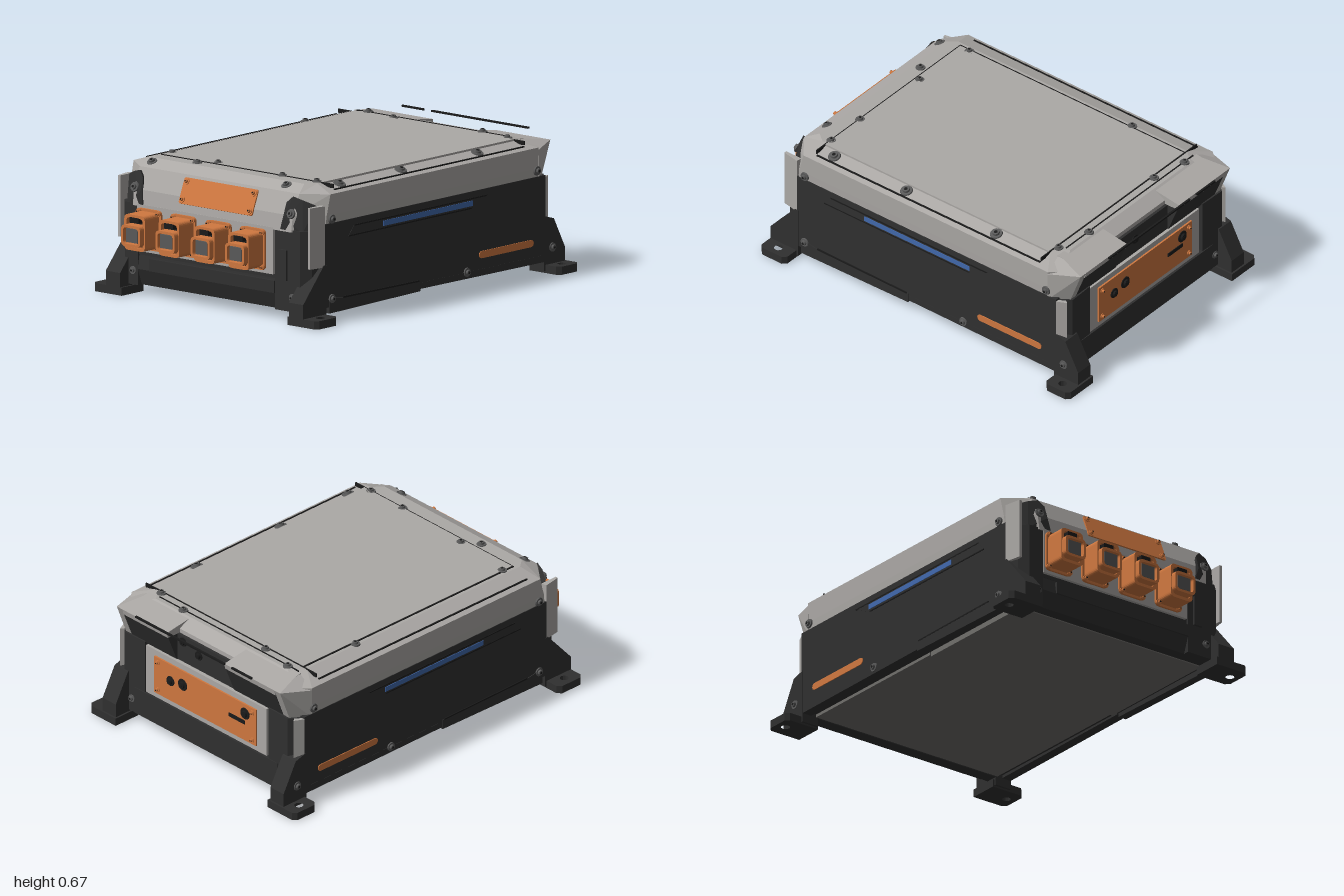
import * as THREE from 'three';
import { ConvexGeometry } from 'three/addons/geometries/ConvexGeometry.js';

const mat = (name, color) => {
  const m = new THREE.MeshStandardMaterial({ color });
  m.name = name;
  return m;
};

export function createModel() {
  const root = new THREE.Group();
  root.name = 'powerUnit';
  const grey = mat('light grey', 0xaca9a6), dark = mat('dark grey', 0x303030), black = mat('black', 0x1b1b1b);
  const orange = mat('orange', 0xd07840), blue = mat('blue', 0x4169ad), steel = mat('bolt grey', 0x5a5a5a);
  const under = mat('underside grey', 0x706e6b);

  const add = (name, geo, m, parent = root) => {
    const mesh = new THREE.Mesh(geo, m);
    mesh.name = name;
    parent.add(mesh);
    return mesh;
  };
  // Box given by its lower and upper limits on each axis
  const box = (name, m, x0, x1, y0, y1, z0, z1, parent) => {
    const g = new THREE.BoxGeometry(Math.abs(x1 - x0), y1 - y0, Math.abs(z1 - z0));
    g.translate((x0 + x1) / 2, (y0 + y1) / 2, (z0 + z1) / 2);
    return add(name, g, m, parent);
  };
  const shapeOf = pts => new THREE.Shape(pts.map(p => new THREE.Vector2(p[0], p[1])));
  const extrude = (shape, depth) => new THREE.ExtrudeGeometry(shape, { depth, bevelEnabled: false, curveSegments: 6 });
  // (z, y) profile swept from x0 to x1
  const sweepX = (name, m, pts, x0, x1) =>
    add(name, extrude(shapeOf(pts), x1 - x0).rotateY(-Math.PI / 2).translate(x1, 0, 0), m);
  // (x, z) plan raised from y0 to y1, optionally with a round hole
  const raise = (name, m, pts, y0, y1, hole) => {
    const s = shapeOf(pts.map(p => [p[0], -p[1]]));
    if (hole) s.holes.push(new THREE.Path().absarc(hole[0], -hole[1], hole[2], 0, Math.PI * 2, true));
    return add(name, extrude(s, y1 - y0).rotateX(-Math.PI / 2).translate(0, y0, 0), m);
  };
  const roundRect = (w, h, r, P = THREE.Shape) => {
    const s = new P(), a = w / 2, b = h / 2;
    s.moveTo(-a + r, -b).lineTo(a - r, -b).quadraticCurveTo(a, -b, a, -b + r).lineTo(a, b - r);
    s.quadraticCurveTo(a, b, a - r, b).lineTo(-a + r, b).quadraticCurveTo(-a, b, -a, b - r);
    s.lineTo(-a, -b + r).quadraticCurveTo(-a, -b, -a + r, -b);
    return s;
  };
  // Bolt: washer and socket head pointing along a direction
  const bolt = (x, y, z, dir, r = 0.02, m = steel, parent = root) => {
    const g = new THREE.Group();
    g.name = 'bolt';
    add('washer', new THREE.CylinderGeometry(r * 1.15, r * 1.25, 0.008, 14), m, g);
    add('head', new THREE.CylinderGeometry(r * 0.65, r * 0.75, 0.014, 10).translate(0, 0.007, 0), m, g);
    add('socket', new THREE.CylinderGeometry(r * 0.35, r * 0.35, 0.003, 6).translate(0, 0.014, 0), black, g);
    g.position.set(x, y, z);
    g.quaternion.setFromUnitVectors(new THREE.Vector3(0, 1, 0), new THREE.Vector3(...dir).normalize());
    parent.add(g);
  };

  // Top cover: stacked eight-sided outlines [y, half width, front z, back z, corner x, corner z]
  const levels = [
    [0.44, 0.625, 0.855, -0.87, 0.12, 0.11], [0.52, 0.628, 0.845, -0.87, 0.12, 0.11],
    [0.622, 0.63, 0.80, -0.87, 0.12, 0.09], [0.657, 0.52, 0.73, -0.80, 0.04, 0.05]];
  const pos = [], idx = [];
  for (const [y, w, f, b, cx, cz] of levels)
    for (const [x, z] of [[w, f - cz], [w, b + 0.07], [w - 0.06, b], [-w + 0.06, b], [-w, b + 0.07],
      [-w, f - cz], [-w + cx, f], [w - cx, f]]) pos.push(x, y, z);
  for (let l = 0; l < 3; l++) for (let i = 0; i < 8; i++) {
    const a = l * 8 + i, b = l * 8 + (i + 1) % 8;
    idx.push(a, b, b + 8, a, b + 8, a + 8);
  }
  for (let i = 1; i < 7; i++) idx.push(24, 24 + i, 25 + i, 0, i + 1, i);
  let cover = new THREE.BufferGeometry();
  cover.setAttribute('position', new THREE.Float32BufferAttribute(pos, 3));
  cover.setIndex(idx);
  cover = cover.toNonIndexed();
  cover.computeVertexNormals();
  add('topCover', cover, grey);

  // Raised lid and panel gaps
  box('lidPanel', grey, -0.495, 0.535, 0.65, 0.662, -0.73, 0.65);
  box('frontGap', black, -0.5, 0.6, 0.64, 0.66, 0.65, 0.657);
  box('leftGap', black, -0.503, -0.495, 0.65, 0.661, -0.73, 0.655);
  box('backGap', black, -0.51, 0.46, 0.65, 0.66, -0.779, -0.773);
  box('backGap', black, -0.59, 0.6, 0.64, 0.66, -0.736, -0.73);

  // Rear overhang on each side of the notch
  for (const [x0, x1] of [[-0.53, -0.18], [0.22, 0.53]]) {
    sweepX('rearRim', grey, [[-0.78, 0.656], [-0.955, 0.63], [-0.948, 0.6], [-0.78, 0.6]], x0, x1);
    sweepX('rearHood', dark, [[-0.8, 0.6], [-0.946, 0.6], [-0.89, 0.46], [-0.8, 0.46]], x0, x1);
  }
  box('notchPlate', dark, -0.18, 0.22, 0.46, 0.6, -0.885, -0.86);
  bolt(0.07, 0.54, -0.885, [0, 0, -1], 0.02, black);
  bolt(0.18, 0.57, -0.885, [0, 0, -1], 0.02, black);
  box('rearBar', black, -0.41, -0.27, 0.655, 0.664, -0.995, -0.985);
  box('rearBar', black, -0.22, 0.4, 0.655, 0.664, -0.995, -0.985);

  // Main case and underside
  box('lowerCase', dark, -0.63, 0.63, 0.07, 0.48, -0.85, 0.75);
  box('underPanelFront', under, -0.55, 0.55, 0.045, 0.07, 0.062, 0.76);
  box('underPanelRear', under, -0.55, 0.55, 0.055, 0.07, -0.84, 0.055);
  sweepX('frontSill', dark, [[0.74, 0.05], [0.82, 0.05], [0.85, 0.13], [0.835, 0.22], [0.74, 0.22]], -0.5, 0.5);
  box('frontSillStep', dark, -0.4, 0.4, 0.13, 0.19, 0.83, 0.858);
  box('frontBulkhead', dark, -0.5, 0.5, 0.2, 0.45, 0.74, 0.84);
  box('connectorPlate', grey, -0.48, 0.39, 0.22, 0.45, 0.83, 0.856);
  box('frontPostRib', dark, 0.43, 0.48, 0.2, 0.35, 0.84, 0.862);

  // Rear recess with access panel
  box('rearSill', dark, -0.5, 0.5, 0.05, 0.19, -0.905, -0.84);
  box('rearPlate', grey, -0.41, 0.43, 0.19, 0.45, -0.893, -0.84);
  box('rearPanel', orange, -0.345, 0.365, 0.22, 0.42, -0.902, -0.892);
  for (const [x, y, r] of [[0.25, 0.33, 0.022], [0.165, 0.345, 0.026], [-0.27, 0.37, 0.026]])
    bolt(x, y, -0.902, [0, 0, -1], r, black);
  box('rearSlot', black, -0.27, -0.16, 0.31, 0.33, -0.906, -0.9);
  for (const x of [-0.32, 0.34]) for (const y of [0.245, 0.395]) bolt(x, y, -0.902, [0, 0, -1], 0.011, orange);

  // Parts mirrored on both sides
  for (const s of [1, -1]) {
    const side = (name, m, y0, y1, z0, z1, x1, x0 = 0.62) => box(name, m, s * x0, s * x1, y0, y1, z0, z1);
    const at = pts => pts.map(([x, ...rest]) => [s * x, ...rest]);
    const sw = (name, m, pts, a, b) => sweepX(name, m, pts, Math.min(s * a, s * b), Math.max(s * a, s * b));
    const convex = (name, m, pts) => add(name, new ConvexGeometry(at(pts).map(p => new THREE.Vector3(...p))), m);

    // Cover edge, rear corner and front corner trim
    convex('rearCorner', grey, [[0.57, 0.63, -0.955], [0.63, 0.61, -0.8], [0.52, 0.656, -0.78], [0.57, 0.46, -0.89],
      [0.63, 0.46, -0.8], [0.5, 0.46, -0.8], [0.51, 0.63, -0.955], [0.51, 0.46, -0.89]]);
    convex('frontCornerTrim', dark, [[0.44, 0.45, 0.86], [0.46, 0.51, 0.856], [0.46, 0.58, 0.836], [0.49, 0.61, 0.822],
      [0.54, 0.595, 0.81], [0.6, 0.57, 0.775], [0.612, 0.44, 0.778], [0.56, 0.44, 0.835], [0.45, 0.45, 0.78],
      [0.5, 0.58, 0.74], [0.58, 0.56, 0.74]]);
    side('edgeGap', black, 0.61, 0.636, -0.73, 0.65, 0.604, 0.596);
    // Corner posts
    const inner = s > 0 ? 0.4 : 0.48;
    raise('frontPost', dark, at([[inner, 0.74], [0.62, 0.74], [0.6, 0.81], [0.56, 0.85], [inner, 0.85]]), 0.05, 0.45);
    raise('frontCornerStrip', grey, at([[0.6, 0.745], [0.63, 0.75], [0.614, 0.84], [0.6, 0.84]]), 0.27, 0.57);
    raise('rearPost', dark, at([[0.43, -0.84], [0.62, -0.84], [0.6, -0.87], [0.57, -0.905], [0.43, -0.9]]), 0.05, 0.47);
    raise('rearCornerStrip', grey, at([[0.6, -0.845], [0.63, -0.85], [0.605, -0.9], [0.59, -0.88]]), 0.22, 0.47);
    // Feet with gussets
    sw('frontGusset', dark, [[0.74, 0.01], [0.91, 0.01], [0.91, 0.11], [0.76, 0.28], [0.74, 0.28]], 0.54, 0.632);
    sw('rearGusset', dark, [[-0.84, 0.01], [-0.99, 0.01], [-0.99, 0.11], [-0.91, 0.26], [-0.84, 0.28]], 0.54, 0.632);
    for (const [z0, z1] of [[0.75, 0.91], [-0.85, -1]]) {
      const c = Math.sign(z0) * 0.02;
      raise('foot', dark, at([[0.53, z0], [0.7, z0], [0.72, z0 + c], [0.72, z1 - c], [0.7, z1], [0.53, z1]]),
        0, 0.04, [s * 0.67, (z0 + z1) / 2, 0.022]);
    }
    // Side details
    sw('sideTrim', dark, [[0.58, 0.4], [0.54, 0.445], [-0.42, 0.445], [-0.32, 0.4]], 0.625, 0.632);
    sw('sideGroove', black, [[0.58, 0.396], [-0.31, 0.396], [-0.32, 0.402], [0.58, 0.402]], 0.625, 0.633);
    sw('sideGroove', black, [[0.54, 0.443], [-0.42, 0.443], [-0.43, 0.449], [0.54, 0.449]], 0.625, 0.633);
    side('blueStripe', blue, 0.41, 0.436, -0.32, 0.33, 0.635);
    side('orangeStripe', orange, 0.143, 0.178, -0.745, -0.385, 0.634);
    for (const z of [-0.745, -0.385])
      add('orangeStripeEnd', new THREE.CylinderGeometry(0.0175, 0.0175, 0.014, 12).rotateZ(Math.PI / 2)
        .translate(s * 0.627, 0.1605, z), orange);
    sw('sideSkirt', dark, [[0.72, 0.04], [0.06, 0.05], [0.06, 0.1], [0.62, 0.105], [0.72, 0.12]], 0.59, 0.634);
    sw('skirtGroove', black, [[0.62, 0.102], [0.07, 0.097], [0.07, 0.104], [0.62, 0.11]], 0.62, 0.635);
    sw('rearSkirt', dark, [[0.06, 0.06], [-0.84, 0.055], [-0.84, 0.09], [0.06, 0.09]], 0.58, 0.631);
    for (const [y, z] of [[0.11, 0.7], [0.09, -0.28], [0.12, -0.9], [0.5, 0.7], [0.51, -0.79]])
      bolt(s * 0.632, y, z, [s, 0, 0], 0.019);
    bolt(s * 0.51, 0.12, 0.85, [0, 0, 1], 0.017);
    bolt(s * 0.5, 0.53, 0.85, [0, 0.3, 1], 0.02);
    bolt(s * 0.52, 0.12, -0.902, [0, 0, -1], 0.017);
  }

  // Plate on the sloping front of the cover
  const plate = new THREE.Group();
  plate.name = 'frontPlate';
  plate.position.set(0.025, 0.548, 0.832);
  plate.rotation.x = -0.38;
  root.add(plate);
  add('plate', extrude(roundRect(0.47, 0.13, 0.012), 0.007), orange, plate);
  for (const x of [-0.215, 0.215]) for (const y of [-0.045, 0.045]) bolt(x, y, 0.007, [0, 0, 1], 0.013, orange, plate);

  // Four power connectors
  for (const x of [-0.395, -0.175, 0.05, 0.27]) {
    const c = new THREE.Group();
    c.name = 'connector';
    c.position.set(x, 0.335, 0.855);
    root.add(c);
    add('flange', extrude(roundRect(0.155, 0.2, 0.025), 0.012), orange, c);
    const ring = (name, w, h, t, depth, y) => {
      const sh = roundRect(w, h, 0.025);
      sh.holes.push(roundRect(w - t, h - t, 0.018, THREE.Path));
      add(name, extrude(sh, depth).translate(0, y, 0), orange, c);
    };
    ring('shell', 0.132, 0.175, 0.03, 0.115, 0);
    ring('socketRim', 0.122, 0.105, 0.026, 0.144, -0.012);
    box('socketFloor', black, -0.052, 0.052, -0.075, 0.075, 0.011, 0.09, c);
    box('contactBlock', steel, -0.038, 0.038, -0.045, 0.022, 0.08, 0.135, c);
    box('latch', black, -0.028, 0.028, 0.05, 0.075, 0.08, 0.118, c);
    for (const bx of [-0.062, 0.062]) for (const by of [-0.085, 0.085]) bolt(bx, by, 0.014, [0, 0, 1], 0.012, orange, c);
  }

  // Bolts on the top
  const topBolts = [[-0.44, -0.78], [-0.25, -0.745], [0.29, -0.78], [0.48, -0.745], [-0.51, -0.4],
    [-0.49, 0.59], [-0.24, 0.69], [-0.16, 0.63], [0.27, 0.65], [0.49, 0.65]];
  for (const [x, z] of topBolts) bolt(x, 0.658, z, [0, 1, 0]);
  for (const z of [-0.43, 0.125, 0.57]) bolt(0.565, 0.645, z, [0.32, 1, 0], 0.026);
  for (const x of [-0.47, 0.39]) bolt(x, 0.643, 0.757, [0, 1, 0.5], 0.022);
  return root;
}
